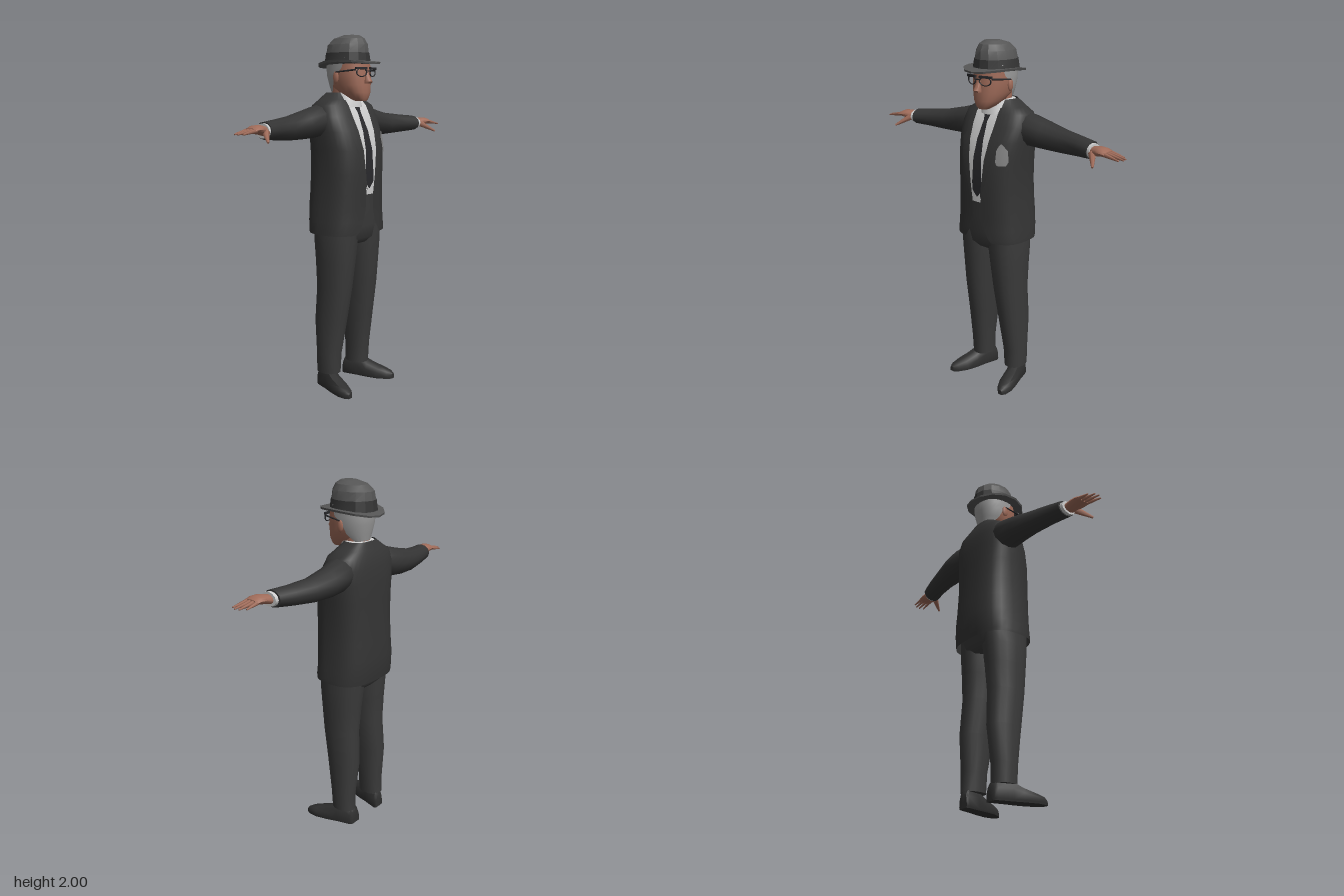
import * as THREE from 'three';
import { toCreasedNormals } from 'three/addons/utils/BufferGeometryUtils.js';

const mat = (name, color) => {
  const m = new THREE.MeshStandardMaterial({ color, side: THREE.DoubleSide });
  m.name = name;
  return m;
};

// Skin a list of rings (arrays of Vector3); closed rings wrap round, caps close the ends
function loft(rings, { closed = true, cap = true, crease = 0.9 } = {}) {
  const n = rings[0].length, pos = [], idx = [];
  rings.forEach(r => r.forEach(p => pos.push(p.x, p.y, p.z)));
  for (let i = 0; i < rings.length - 1; i++) {
    for (let j = 0; j < (closed ? n : n - 1); j++) {
      const k = (j + 1) % n, a = i * n + j, b = i * n + k;
      idx.push(a, b, b + n, a, b + n, a + n);
    }
  }
  if (closed && cap) {
    [0, rings.length - 1].forEach((i, last) => {
      const c = rings[i].reduce((s, p) => s.add(p), new THREE.Vector3()).divideScalar(n);
      const ci = pos.length / 3;
      pos.push(c.x, c.y, c.z);
      for (let j = 0; j < n; j++) {
        const a = i * n + j, b = i * n + (j + 1) % n;
        if (last) idx.push(a, b, ci); else idx.push(b, a, ci);
      }
    });
  }
  const g = new THREE.BufferGeometry();
  g.setAttribute('position', new THREE.Float32BufferAttribute(pos, 3));
  g.setIndex(idx);
  return toCreasedNormals(g, crease);
}

// Horizontal rounded-box section, angle 0 at the front; t0 leaves a gap at the front
const pw = (v, e) => Math.sign(v) * Math.abs(v) ** e;
function section([y, rx, zf, zb], { n = 20, e = 0.85, cx = 0, grow = 0, t0 = null, t1 = null } = {}) {
  const zc = (zf + zb) / 2, rz = (zf - zb) / 2 + grow, open = t0 !== null;
  return Array.from({ length: open ? n + 1 : n }, (_, j) => {
    const t = open ? t0 + (t1 - t0) * j / n : 2 * Math.PI * j / n;
    return new THREE.Vector3(cx + (rx + grow) * pw(Math.sin(t), e), y, zc + rz * pw(Math.cos(t), e));
  });
}

// Section across the x axis: [x, cy, cz, ry, rz]
const armRing = ([x, cy, cz, ry, rz]) => Array.from({ length: 12 }, (_, j) => {
  const t = 2 * Math.PI * j / 12;
  return new THREE.Vector3(x, cy - ry * Math.sin(t), cz + rz * Math.cos(t));
});

// Tapered rod between two points
function rod(a, b, r0, r1) {
  const p = new THREE.Vector3(...a), q = new THREE.Vector3(...b), d = q.clone().sub(p);
  const g = new THREE.CylinderGeometry(r1, r0, d.length(), 6);
  g.applyQuaternion(new THREE.Quaternion().setFromUnitVectors(new THREE.Vector3(0, 1, 0), d.normalize()));
  const m = p.add(q).multiplyScalar(0.5);
  return g.translate(m.x, m.y, m.z);
}

// Mirrored copy across x = 0, turning each triangle over
function mirror(geo) {
  const g = geo.index ? geo.toNonIndexed() : geo.clone();
  g.scale(-1, 1, 1);
  const order = [];
  for (let i = 0; i < g.attributes.position.count; i += 3) order.push(i, i + 2, i + 1);
  g.setIndex(order);
  return g;
}

// Jacket rows: y, half width, front z, back z, half opening
const COAT = [
  [0.91, 0.22, 0.155, -0.175, 0.10], [0.93, 0.22, 0.157, -0.178, 0.08], [0.98, 0.215, 0.155, -0.185, 0.05],
  [1.05, 0.21, 0.155, -0.187, 0.033], [1.14, 0.203, 0.158, -0.183, 0.03], [1.25, 0.2, 0.16, -0.178, 0.044],
  [1.38, 0.205, 0.155, -0.175, 0.06], [1.48, 0.215, 0.13, -0.172, 0.072], [1.56, 0.217, 0.095, -0.165, 0.08],
  [1.62, 0.2, 0.065, -0.15, 0.08], [1.65, 0.15, 0.04, -0.135, 0.075], [1.69, 0.09, 0.015, -0.115, 0.07],
];
const CE = 0.7;
function frontZ(x, y) {
  let i = 0;
  while (i < COAT.length - 2 && COAT[i + 1][0] < y) i++;
  const a = COAT[i], b = COAT[i + 1], k = (y - a[0]) / (b[0] - a[0]);
  const [, rx, zf, zb] = a.map((v, q) => v + (b[q] - v) * k);
  const u = Math.min(1, Math.abs(x) / rx);
  return (zf + zb) / 2 + (zf - zb) / 2 * (1 - u ** (2 / CE)) ** (CE / 2);
}
// Thin patch lying on the chest; rows are [y, x0, x1], bottom to top
const patch = (rows, off) => loft(rows.map(([y, a, b]) => Array.from({ length: 5 }, (_, j) => {
  const x = a + (b - a) * j / 4;
  return new THREE.Vector3(x, y, frontZ(x, y) + off);
})), { closed: false });

export function createModel() {
  const root = new THREE.Group();
  const suit = mat('suit cloth', 0x343434), trouser = mat('trouser cloth', 0x3a3a3a);
  const felt = mat('hat felt', 0x565656), skin = mat('skin', 0xa06c5a), hairM = mat('grey hair', 0x9a9a9a);
  const shirt = mat('shirt', 0xcccccc), black = mat('black', 0x29292c), silk = mat('pocket silk', 0x858585);
  const leather = mat('shoe leather', 0x303030);
  const add = (name, geo, m) => {
    const mesh = new THREE.Mesh(geo, m);
    mesh.name = name;
    root.add(mesh);
  };
  const pair = (name, geo, m) => {
    add('left ' + name, geo, m);
    add('right ' + name, mirror(geo), m);
  };

  // Jacket, open at the front, over shirt and waist
  add('jacket', loft(COAT.map(r => {
    const t0 = Math.asin((r[4] / r[1]) ** (1 / CE));
    return section(r, { n: 32, e: CE, t0, t1: 2 * Math.PI - t0 });
  }), { closed: false, crease: 1.1 }), suit);
  const inner = rows => loft(rows.map(r => section(r, { n: 32, e: CE, grow: -0.012 })));
  add('shirt', inner([[1.13, 0.203, 0.158, -0.183], ...COAT.slice(5)]), shirt);
  add('trouser waist', inner([[0.85, 0.17, 0.11, -0.12], [0.88, 0.205, 0.135, -0.15],
    [0.95, 0.205, 0.145, -0.165], [1.05, 0.2, 0.15, -0.175], [1.14, 0.195, 0.157, -0.175]]), trouser);
  pair('lapel', patch([[1.16, 0.03, 0.034], [1.25, 0.042, 0.066], [1.38, 0.057, 0.105],
    [1.48, 0.069, 0.128], [1.52, 0.073, 0.1], [1.56, 0.077, 0.115], [1.62, 0.077, 0.1], [1.65, 0.073, 0.085]], 0.006), suit);
  add('tie', patch([[1.165, -0.003, 0.003], [1.2, -0.034, 0.034], [1.25, -0.034, 0.034], [1.38, -0.028, 0.028],
    [1.48, -0.022, 0.022], [1.56, -0.015, 0.015], [1.58, -0.013, 0.013], [1.62, -0.024, 0.024], [1.635, -0.02, 0.02]], -0.004), black);
  add('pocket square', patch([[1.36, 0.135, 0.175], [1.38, 0.127, 0.183], [1.44, 0.125, 0.18],
    [1.465, 0.135, 0.16], [1.475, 0.143, 0.15]], 0.008), silk);
  add('shirt collar', loft([[1.61, 0.088, 0.07, -0.11], [1.65, 0.08, 0.062, -0.112], [1.69, 0.072, 0.045, -0.11]]
    .map(r => section(r)), { cap: false }), shirt);

  // Sleeves, cuffs and hands
  pair('sleeve', loft([[0.13, 1.55, -0.055, 0.07, 0.075], [0.2, 1.535, -0.06, 0.088, 0.092], [0.3, 1.518, -0.07, 0.077, 0.083],
    [0.42, 1.504, -0.065, 0.064, 0.066], [0.54, 1.502, -0.042, 0.053, 0.06], [0.635, 1.502, -0.015, 0.045, 0.058]]
    .map(armRing)), suit);
  pair('cuff', loft([[0.6, 1.502, -0.02, 0.038, 0.048], [0.652, 1.502, -0.008, 0.038, 0.05]].map(armRing)), shirt);
  pair('palm', loft([[0.64, 1.5, -0.006, 0.026, 0.036], [0.69, 1.51, 0.005, 0.025, 0.045],
    [0.725, 1.512, 0.01, 0.021, 0.048], [0.75, 1.508, 0.01, 0.012, 0.044]].map(armRing)), skin);
  [[0.815, -0.028], [0.84, -0.002], [0.845, 0.024], [0.832, 0.05]].forEach(([x, z], i) => {
    pair('finger ' + (i + 1), rod([0.73, 1.51, -0.022 + 0.021 * i], [x, 1.493, z], 0.0125, 0.004), skin);
  });
  pair('thumb', rod([0.665, 1.498, 0.03], [0.72, 1.452, 0.104], 0.02, 0.006), skin);

  // Trouser legs: y, outer x, inner x, front z, back z
  pair('trouser leg', loft([[0.09, 0.185, 0.07, 0.032, -0.11], [0.2, 0.19, 0.065, 0.037, -0.108], [0.4, 0.19, 0.045, 0.07, -0.128],
    [0.6, 0.192, 0.028, 0.1, -0.115], [0.75, 0.196, 0.012, 0.115, -0.125], [0.86, 0.2, 0, 0.125, -0.135], [0.95, 0.195, 0, 0.13, -0.14]]
    .map(([y, o, i, f, b]) => section([y, (o - i) / 2, f, b], { cx: (o + i) / 2, n: 16 }))), trouser);
  // Shoes, toes turned out: z, half width, height
  pair('shoe', loft([[-0.115, 0.033, 0.08], [-0.1, 0.042, 0.11], [-0.02, 0.044, 0.12], [0.04, 0.05, 0.085],
    [0.11, 0.05, 0.06], [0.16, 0.034, 0.045], [0.183, 0.014, 0.03]].map(([z, w, h]) => Array.from({ length: 12 }, (_, j) => {
    const t = 2 * Math.PI * j / 12, s = Math.sin(t);
    return new THREE.Vector3(0.118 + (z + 0.1) * 0.28 + w * pw(Math.cos(t), 0.6), s < -0.1 ? 0 : 0.01 + (h - 0.01) * Math.max(0, s), z);
  }))), leather);

  // Head and neck
  add('neck', loft([[1.6, 0.07, 0.05, -0.1], [1.68, 0.064, 0.055, -0.1], [1.76, 0.066, 0.06, -0.1]].map(r => section(r))), skin);
  add('head', loft([[1.645, 0.03, 0.122, 0.06], [1.66, 0.05, 0.13, 0.02], [1.69, 0.074, 0.135, -0.04], [1.73, 0.09, 0.134, -0.095],
    [1.78, 0.1, 0.132, -0.113], [1.82, 0.102, 0.127, -0.118], [1.88, 0.1, 0.12, -0.115]].map(r => section(r))), skin);
  add('hair', loft([[1.69, 0.068, 0.1, -0.094, 2.2], [1.73, 0.09, 0.134, -0.102, 1.9], [1.78, 0.1, 0.132, -0.113, 1.7],
    [1.82, 0.102, 0.127, -0.118, 1.35], [1.88, 0.1, 0.12, -0.115, 1.15]]
    .map(r => section(r, { n: 18, grow: 0.005, t0: r[4], t1: 2 * Math.PI - r[4] })), { closed: false }), hairM);
  add('nose', loft([[1.738, 0.02, 0.158, 0.12], [1.748, 0.021, 0.167, 0.12], [1.775, 0.013, 0.152, 0.12], [1.805, 0.009, 0.137, 0.115]]
    .map(r => section(r, { n: 8 }))), skin);
  pair('ear', new THREE.SphereGeometry(1, 8, 6).scale(0.01, 0.034, 0.02).translate(0.105, 1.772, 0), skin);

  // Spectacles
  pair('spectacle rim', new THREE.TorusGeometry(0.03, 0.0035, 5, 14).scale(1.15, 0.75, 1).rotateY(0.25).translate(0.047, 1.798, 0.135), black);
  pair('spectacle brow bar', new THREE.BoxGeometry(0.074, 0.012, 0.012).rotateY(0.25).translate(0.049, 1.82, 0.134), black);
  pair('spectacle arm', rod([0.084, 1.812, 0.124], [0.109, 1.8, 0.0], 0.005, 0.004), black);
  add('spectacle bridge', new THREE.BoxGeometry(0.03, 0.006, 0.008).translate(0, 1.806, 0.143), black);

  // Hat: brim raised at the sides, banded crown with a sloping top
  const brimRing = (rx, zf, zb, lift, dy) => section([0, rx, zf, zb], { n: 14, e: 1 }).map(p => {
    p.y = 1.846 + dy + lift * (p.x / rx) ** 2 + 0.045 * p.z;
    return p;
  });
  add('hat brim', loft([brimRing(0.09, 0.11, -0.11, 0, -0.006), brimRing(0.152, 0.19, -0.178, 0.02, -0.014),
    brimRing(0.156, 0.192, -0.18, 0.022, -0.004), brimRing(0.09, 0.11, -0.11, 0, 0.012)], { cap: false, crease: 0.4 }), felt);
  add('hat crown', loft([[1.845, 0.114, 0.128, -0.138], [1.91, 0.103, 0.12, -0.13], [1.95, 0.093, 0.117, -0.125],
    [1.982, 0.073, 0.1, -0.085], [2, 0.042, 0.07, -0.02]].map(r => section(r, { n: 14, e: 0.95 })), { crease: 0.4 }), felt);
  add('hat band', loft([[1.848, 0.117, 0.131, -0.141], [1.905, 0.107, 0.124, -0.134]]
    .map(r => section(r, { n: 14, e: 0.95 })), { cap: false, crease: 0.4 }), suit);
  return root;
}
